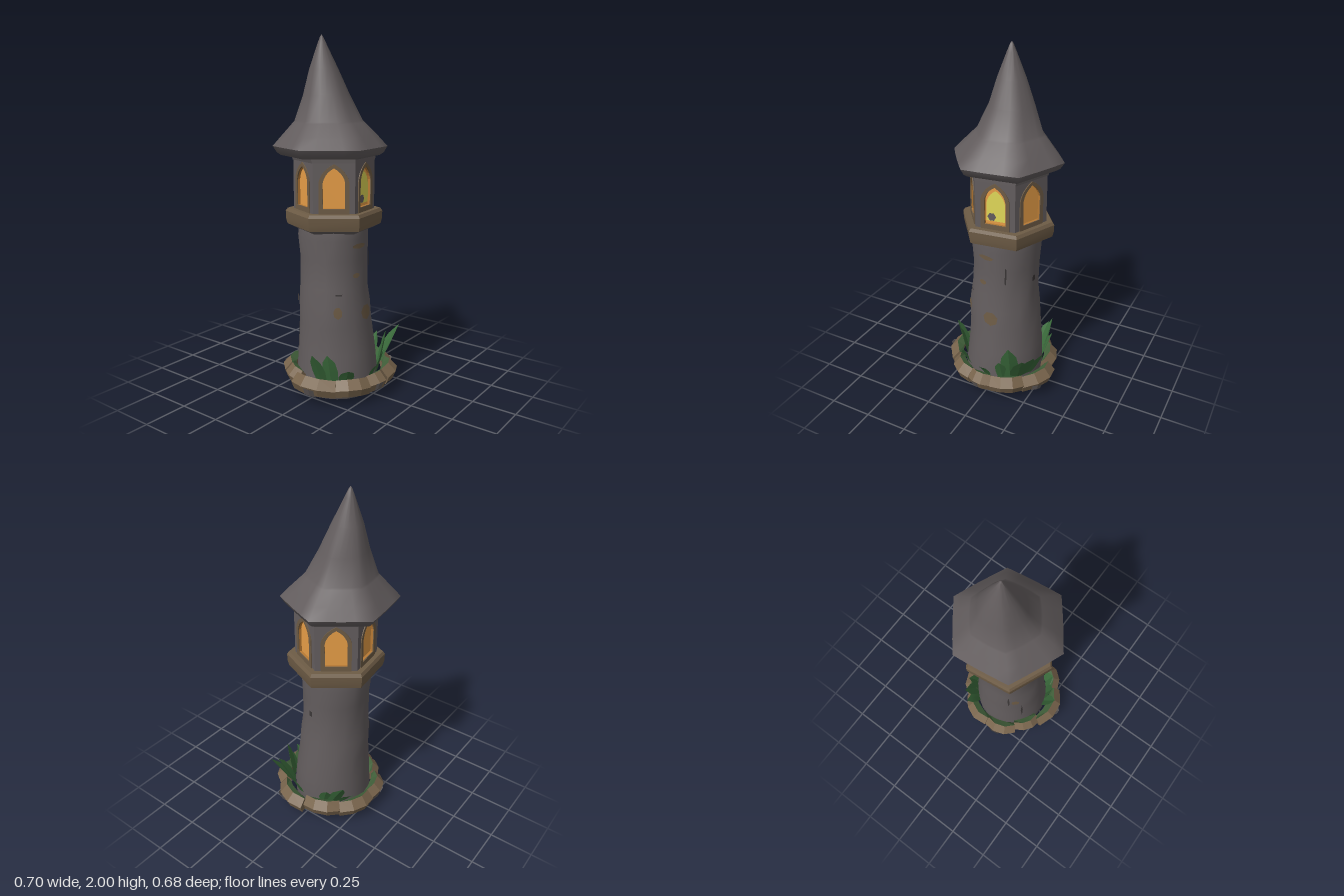
import * as THREE from 'three';
import { toCreasedNormals } from 'three/addons/utils/BufferGeometryUtils.js';

const mat = (name, color, side = THREE.FrontSide) => {
  const m = new THREE.MeshStandardMaterial({ color, side });
  m.name = name;
  return m;
};
const TWIST = 0.12; // the hexagonal storeys are turned slightly
const CZ = -0.03;

function rng(seed) {
  return () => ((seed = (seed * 16807) % 2147483647) / 2147483647);
}

// Closed loft through rings [y, radius, centreX, centreZ, hexness 0..1]
function loft(rings, n = 24, crease = 0.5, wobble = 0) {
  const rand = rng(7), pos = [], idx = [];
  rings.forEach(([y, r, cx = 0, cz = 0, hex = 0]) => {
    for (let j = 0; j < n; j++) {
      const t = (j / n) * Math.PI * 2, sector = t % (Math.PI / 3);
      const h = Math.cos(Math.PI / 6) / Math.cos(sector - Math.PI / 6);
      const k = r * (1 + (h - 1) * hex) + (rand() - 0.5) * wobble;
      pos.push(cx + k * Math.cos(t + TWIST), y, cz - k * Math.sin(t + TWIST));
    }
  });
  const last = rings.length - 1;
  for (let i = 0; i < last; i++) for (let j = 0; j < n; j++) {
    const a = i * n + j, b = i * n + ((j + 1) % n);
    idx.push(a, b, b + n, a, b + n, a + n);
  }
  // end caps
  const c0 = pos.length / 3;
  for (const i of [0, last]) pos.push(rings[i][2] ?? 0, rings[i][0], rings[i][3] ?? 0);
  for (let j = 0; j < n; j++) {
    const k = (j + 1) % n;
    idx.push(c0, k, j, c0 + 1, last * n + j, last * n + k);
  }
  const g = new THREE.BufferGeometry();
  g.setAttribute('position', new THREE.Float32BufferAttribute(pos, 3));
  g.setIndex(idx);
  return toCreasedNormals(g, crease);
}

// Pointed arch outline
function arch(path, w, y0, y1, y2) {
  path.moveTo(-w, y0);
  path.lineTo(w, y0);
  path.lineTo(w, y1);
  path.quadraticCurveTo(w * 0.85, (y1 + y2) / 2 + 0.012, 0, y2);
  path.quadraticCurveTo(-w * 0.85, (y1 + y2) / 2 + 0.012, -w, y1);
  path.closePath();
  return path;
}

const BODY = [
  [0.0, 0.222, -0.005, -0.005], [0.03, 0.234, -0.005, -0.005], [0.1, 0.234, -0.003, -0.005],
  [0.25, 0.222, 0, -0.01], [0.4, 0.21, -0.005, -0.015], [0.52, 0.205, -0.01, -0.018], [0.62, 0.193, -0.01, -0.022],
  [0.78, 0.191, -0.005, -0.027], [0.9, 0.2, -0.005, -0.03], [0.96, 0.196, -0.005, -0.03],
];
function bodyAt(y) {
  let i = 0;
  while (i < BODY.length - 2 && BODY[i + 1][0] < y) i++;
  const t = (y - BODY[i][0]) / (BODY[i + 1][0] - BODY[i][0]);
  return [1, 2, 3].map((k) => BODY[i][k] + (BODY[i + 1][k] - BODY[i][k]) * t);
}

// Thin patch wrapped on the shaft; angle 0 faces the front, positive toward +x
function patchGeo(angle, y, w, h, sides = 7) {
  const g = new THREE.CircleGeometry(1, sides, angle * 5), p = g.attributes.position;
  for (let i = 0; i < p.count; i++) {
    const py = y + p.getY(i) * h, [r, cx, cz] = bodyAt(py), a = angle + (p.getX(i) * w) / r;
    p.setXYZ(i, cx + (r + 0.006) * Math.sin(a), py, cz + (r + 0.006) * Math.cos(a));
  }
  g.computeVertexNormals();
  return g;
}

// One stone of the border: a five-sided section swept through an arc (only the given faces)
function stoneGeo(a0, a1, radius, dy, faces) {
  const sec = [[0.75, 0.122], [0.87, 0.147], [1, 0.1], [0.945, 0.055], [0.79, 0.075]];
  const bulge = [0.93, 0.99, 1.0, 0.94], pos = [];
  const pt = (i, k) => {
    const a = a0 + ((a1 - a0) * i) / 3, q = sec[k % 5], r = q[0] * (k % 5 === 0 ? 1 : bulge[i]) * radius;
    return [r * Math.sin(a), q[1] + dy + (i % 3 ? 0.004 : -0.008), r * Math.cos(a)];
  };
  for (const k of faces) for (let i = 0; i < 3; i++) {
    const a = pt(i, k), b = pt(i + 1, k), c = pt(i + 1, k + 1), d = pt(i, k + 1);
    pos.push(...a, ...d, ...c, ...a, ...c, ...b);
  }
  if (faces.includes(1)) for (const i of [0, 3]) for (let k = 1; k < 4; k++)
    pos.push(...pt(i, 0), ...pt(i, k), ...pt(i, k + 1));
  const g = new THREE.BufferGeometry();
  g.setAttribute('position', new THREE.Float32BufferAttribute(pos, 3));
  g.computeVertexNormals();
  return g;
}

// Folded pointed blade curving from the shaft's foot to its tip
function leafGeo(angle, tip, w) {
  const base = new THREE.Vector3(0.225 * Math.sin(angle), 0.1, 0.225 * Math.cos(angle)), end = new THREE.Vector3(...tip);
  const mid = base.clone().lerp(end, 0.45).add(new THREE.Vector3(0, 0.03, 0));
  const curve = new THREE.QuadraticBezierCurve3(base, mid, end), pos = [], idx = [];
  const out = new THREE.Vector3(Math.sin(angle), 0, Math.cos(angle));
  const side = new THREE.Vector3(out.z, 0, -out.x);
  [0.8, 1, 0.8, 0].forEach((k, i) => {
    const c = curve.getPoint(i / 3);
    for (const s of [-1, 0, 1]) {
      const v = c.clone().addScaledVector(side, s * k * w).addScaledVector(out, s ? 0 : k * w * 0.25);
      pos.push(v.x, v.y, v.z);
    }
    if (i < 3) for (const s of [0, 1]) {
      const a = i * 3 + s;
      idx.push(a, a + 1, a + 4, a, a + 4, a + 3);
    }
  });
  const g = new THREE.BufferGeometry();
  g.setAttribute('position', new THREE.Float32BufferAttribute(pos, 3));
  g.setIndex(idx);
  return toCreasedNormals(g, 0.3);
}

export function createModel() {
  const root = new THREE.Group();
  root.name = 'lanternTower';
  const stone = mat('greyStone', 0x635d5e), brown = mat('brownStone', 0x6e5c46), dark = mat('crackGrey', 0x3c3838);
  const orange = mat('orangeGlow', 0xf0a44a), yellow = mat('yellowGlow', 0xe0d858), amber = mat('amberReveal', 0xb87a34);
  const leaf = mat('leafGreen', 0x3a6a3b, THREE.DoubleSide), moss = mat('mossGreen', 0x41603a, THREE.DoubleSide);
  const border = mat('borderBrown', 0x78644c, THREE.DoubleSide), borderGrey = mat('borderGrey', 0x635d5c, THREE.DoubleSide);
  const add = (name, geo, material, parent = root) => {
    const m = new THREE.Mesh(geo, material);
    m.name = name;
    parent.add(m);
    return m;
  };

  // Shaft with weathered patches and cracks
  add('shaft', loft(BODY, 24, 0.7, 0.005), stone);
  for (const [a, y, w, h] of [[0.05, 0.48, 0.045, 0.045], [-0.15, 0.865, 0.05, 0.015], [-0.25, 0.7, 0.025, 0.015],
    [-0.85, 0.5, 0.025, 0.035], [-2.4, 0.54, 0.025, 0.03]])
    add('weatheredPatch', patchGeo(a, y, w, h), brown);
  for (const [a, y, w, h] of [[0.45, 0.76, 0.006, 0.07], [1.4, 0.71, 0.016, 0.025], [-0.8, 0.6, 0.025, 0.006],
    [-2.2, 0.35, 0.007, 0.12], [-2.6, 0.55, 0.007, 0.08]])
    add('crack', patchGeo(a, y, w, h, 4), dark);

  // Balcony ledge
  add('balconySoffit', loft([[0.94, 0.22, 0, CZ, 1], [0.962, 0.265, 0, CZ, 1]], 6), stone);
  add('balconyLedge', loft([[0.962, 0.265, 0, CZ, 1], [0.99, 0.272, 0, CZ, 1], [1.035, 0.274, 0, CZ, 1],
    [1.052, 0.262, 0, CZ, 1]], 6, 0.3), brown);

  // Lantern room: six walls with arched openings and glowing panes
  const R = 0.227, apothem = R * Math.cos(Math.PI / 6), half = R / 2;
  const wall = new THREE.Shape();
  wall.moveTo(-half, 1.04);
  wall.lineTo(half, 1.04);
  wall.lineTo(half, 1.36);
  wall.lineTo(-half, 1.36);
  wall.closePath();
  wall.holes.push(arch(new THREE.Path(), 0.06, 1.08, 1.22, 1.3));
  const wallGeo = new THREE.ExtrudeGeometry(wall, { depth: 0.03, bevelEnabled: false, curveSegments: 5 });
  const trim = arch(new THREE.Shape(), 0.082, 1.05, 1.225, 1.322);
  trim.holes.push(arch(new THREE.Path(), 0.06, 1.08, 1.22, 1.3));
  const trimGeo = new THREE.ExtrudeGeometry(trim, { depth: 0.006, bevelEnabled: false, curveSegments: 5 });
  const paneGeo = new THREE.ShapeGeometry(arch(new THREE.Shape(), 0.062, 1.075, 1.22, 1.302), 5);
  for (let i = 0; i < 6; i++) {
    const bay = new THREE.Group();
    bay.name = 'lanternBay';
    bay.position.z = CZ;
    bay.rotation.y = TWIST + (i * Math.PI) / 3;
    root.add(bay);
    add('wall', wallGeo, [stone, amber], bay).position.z = apothem - 0.03;
    add('archTrim', trimGeo, brown, bay).position.z = apothem - 0.001;
    add('pane', paneGeo, orange, bay).position.z = apothem - 0.014;
    if (i === 0) {
      const glow = new THREE.ShapeGeometry(arch(new THREE.Shape(), 0.053, 1.097, 1.2, 1.275), 5);
      add('brightPane', glow, yellow, bay).position.z = apothem - 0.01;
      add('paneSmudge', new THREE.CircleGeometry(0.025, 6), stone, bay).position.set(-0.022, 1.122, apothem - 0.007);
    }
  }

  // Roof: hexagonal flared eaves rising to a rounder, leaning point
  add('roofCollar', loft([[1.325, 0.23, 0, CZ, 1], [1.365, 0.24, 0, -0.04, 1]], 6), stone);
  add('roof', loft([[1.35, 0.275, -0.01, -0.048, 1], [1.365, 0.298, -0.01, -0.048, 0.95], [1.4, 0.32, -0.01, -0.05, 0.92],
    [1.46, 0.266, -0.008, -0.053, 0.85], [1.53, 0.2, -0.005, -0.06, 0.7], [1.54, 0.19, -0.005, -0.062, 0.7],
    [1.68, 0.13, -0.002, -0.08, 0.5], [1.82, 0.08, -0.01, -0.092, 0.3], [1.95, 0.026, -0.015, -0.1, 0],
    [1.99, 0.009, -0.016, -0.102, 0], [2.0, 0.002, -0.016, -0.102, 0]], 24, 1.0), stone);

  // Border of mossy stones around the foot: [start, end in degrees, outer radius, lift]
  const stones = [
    [-18, 10, 0.335, 0], [10, 47, 0.347, 0.004], [46, 92, 0.353, -0.004], [91, 137, 0.325, 0.004], [136, 180, 0.338, 0],
    [179, 220, 0.333, -0.004], [219, 255, 0.315, 0.003], [252, 304, 0.35, 0], [304, 342, 0.337, -0.003],
  ];
  stones.forEach(([d0, d1, r, dy]) => {
    const a0 = THREE.MathUtils.degToRad(d0), a1 = THREE.MathUtils.degToRad(d1);
    add('borderStone', stoneGeo(a0, a1, r, dy, [1, 2, 4]), border);
    add('borderUnderside', stoneGeo(a0, a1, r, dy, [3]), borderGrey);
    add('borderMoss', stoneGeo(a0, a1, r, dy, [0]), moss);
  });
  // Bare grey faces on a few stones
  for (const [d0, d1, r, dy] of [[-14, 0, 0.338, 0.002], [56, 68, 0.362, -0.004], [184, 206, 0.338, -0.004], [270, 284, 0.36, 0]])
    add('bareFace', stoneGeo(THREE.MathUtils.degToRad(d0), THREE.MathUtils.degToRad(d1), r, dy, [2]), borderGrey);

  // Leaf clumps: [angle on shaft, tip, half width]
  const leaves = [
    [0.9, [0.3, 0.33, 0.235], 0.045], [0.6, [0.14, 0.34, 0.24], 0.055], [0.78, [0.23, 0.28, 0.24], 0.05],
    [1.2, [0.29, 0.25, 0.08], 0.045], [0.4, [0.09, 0.24, 0.26], 0.035],
    [0.0, [-0.02, 0.2, 0.3], 0.025], [-0.75, [-0.19, 0.19, 0.21], 0.045],
    [-1.1, [-0.25, 0.28, 0.11], 0.045], [-1.35, [-0.31, 0.285, 0.05], 0.04],
    [2.2, [0.21, 0.28, -0.24], 0.045], [2.45, [0.17, 0.22, -0.28], 0.035], [2.0, [0.25, 0.24, -0.15], 0.035],
  ];
  for (const [a, tip, w] of leaves) add('leaf', leafGeo(a, tip, w), leaf);

  return root;
}
